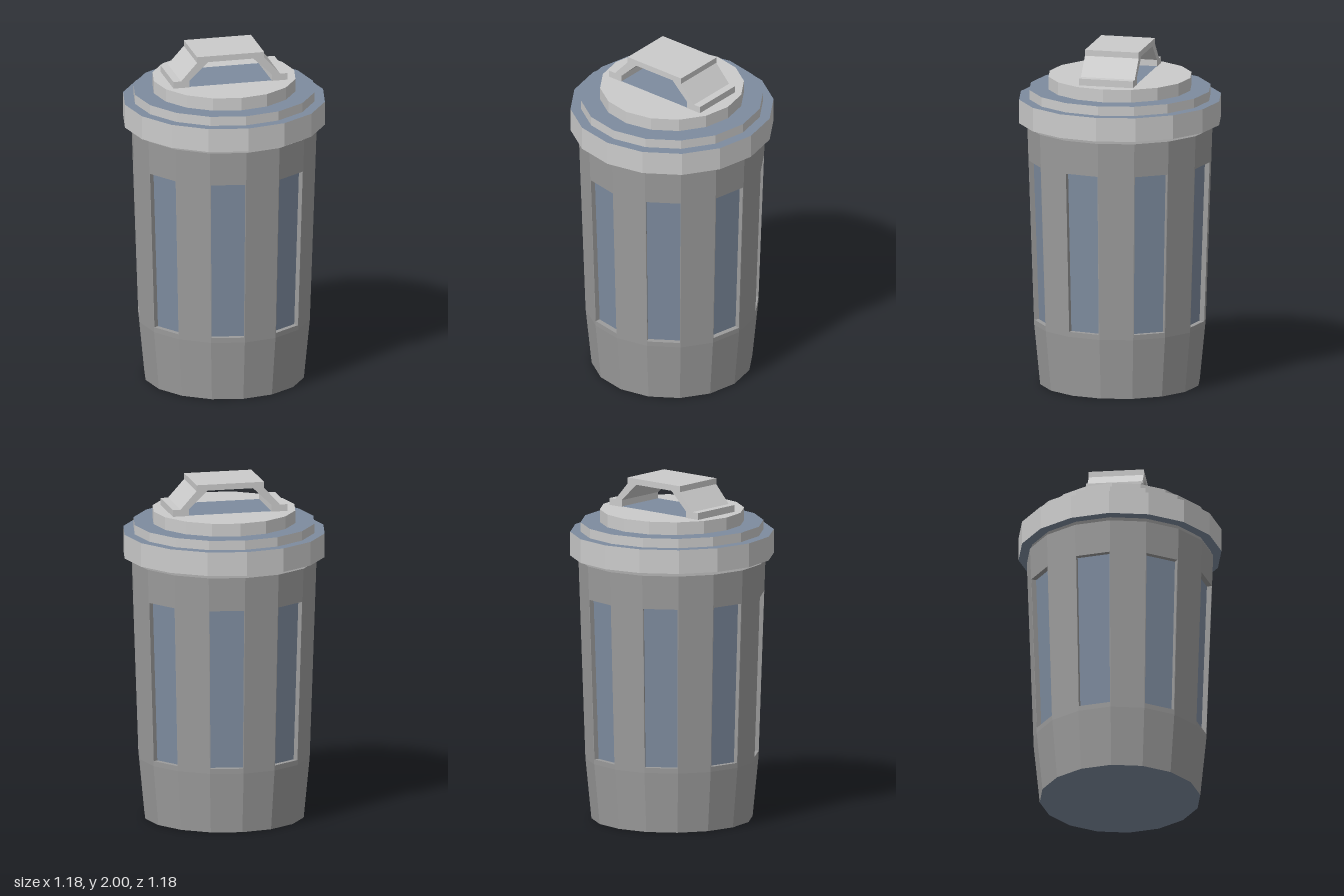
import * as THREE from 'three';

const SIDES = 16;
const material = (color) => new THREE.MeshStandardMaterial({ color, flatShading: true });

// Flat-shaded geometry from quads of Vector3 corners, counter-clockwise from outside
function quadGeometry(quads) {
  const pts = [];
  for (const [a, b, c, d] of quads) pts.push(a, b, c, a, c, d);
  const g = new THREE.BufferGeometry().setFromPoints(pts);
  g.computeVertexNormals();
  return g;
}

// Body radius by height: narrow foot, then a long gentle taper
const BREAK = 0.355, TOP = 1.525;
function bodyRadius(y) {
  return y < BREAK
    ? THREE.MathUtils.mapLinear(y, 0, BREAK, 0.467, 0.502)
    : THREE.MathUtils.mapLinear(y, BREAK, TOP, 0.502, 0.542);
}

// Point on side i; u runs 0..1 across the side
function bodyPoint(i, u, y) {
  const r = bodyRadius(y);
  const corner = (k) => {
    const a = (k / SIDES) * Math.PI * 2;
    return new THREE.Vector3(Math.sin(a) * r, y, Math.cos(a) * r);
  };
  return corner(i).lerp(corner(i + 1), u);
}

// Four corners of a patch on side i
const patch = (i, u0, u1, y0, y1) => [
  bodyPoint(i, u0, y0), bodyPoint(i, u1, y0), bodyPoint(i, u1, y1), bodyPoint(i, u0, y1),
];

export function createModel() {
  const root = new THREE.Group();
  root.name = 'trashCan';
  const grey = material(0xcccccc);
  const bodyGrey = material(0x9c9c9c);
  const blue = material(0x7e8c9f);

  const add = (parent, name, geometry, mat, y = 0) => {
    const mesh = new THREE.Mesh(geometry, mat);
    mesh.name = name;
    mesh.position.y = y;
    parent.add(mesh);
    return mesh;
  };
  const disc = (r) => new THREE.CircleGeometry(r, SIDES);
  const ring = (r0, r1) => new THREE.RingGeometry(r0, r1, SIDES);
  const up = (g) => g.rotateX(-Math.PI / 2);
  const down = (g) => g.rotateX(Math.PI / 2);

  // Body: every other side carries a recessed panel
  const body = new THREE.Group();
  body.name = 'body';
  root.add(body);
  const walls = [], panels = [];
  const depth = 0.03;
  for (let i = 0; i < SIDES; i++) {
    walls.push(patch(i, 0, 1, 0, BREAK));
    const outer = patch(i, 0, 1, BREAK, TOP);
    if (i % 2 === 0) {
      walls.push(outer);
      continue;
    }
    const opening = patch(i, 0.02, 0.98, 0.385, 1.328);
    const a = ((i + 0.5) / SIDES) * Math.PI * 2;
    const inward = new THREE.Vector3(-Math.sin(a), 0, -Math.cos(a)).multiplyScalar(depth);
    const floor = opening.map((p) => p.clone().add(inward));
    for (let k = 0; k < 4; k++) {
      const n = (k + 1) % 4;
      walls.push([outer[k], outer[n], opening[n], opening[k]]);
      walls.push([opening[k], opening[n], floor[n], floor[k]]);
    }
    panels.push(floor);
  }
  add(body, 'bodyWall', quadGeometry(walls), bodyGrey);
  add(body, 'sidePanels', quadGeometry(panels), blue);
  add(body, 'bodyBottom', down(disc(bodyRadius(0))), blue);
  add(body, 'bodyTop', up(disc(bodyRadius(TOP))), bodyGrey, TOP);

  // Lid: three stepped tiers with blue ledges, floating just above the body
  const lid = new THREE.Group();
  lid.name = 'lid';
  root.add(lid);
  const tiers = [[0.59, 1.55, 1.69], [0.53, 1.69, 1.745], [0.418, 1.745, 1.82]];
  tiers.forEach(([r, y0, y1], i) => {
    const side = new THREE.CylinderGeometry(r, r, y1 - y0, SIDES, 1, true);
    add(lid, 'lidTier', side, grey, (y0 + y1) / 2);
    if (i < 2) add(lid, 'lidLedge', up(ring(tiers[i + 1][0], r)), blue, y1);
  });
  add(lid, 'lidTop', up(disc(0.418)), grey, 1.82);
  add(lid, 'lidRimUnderside', down(ring(0.53, 0.59)), blue, 1.55);
  add(lid, 'lidUnderside', down(disc(0.53)), grey, 1.55);

  // Handle: bent strap with two feet
  const half = [
    [0.2, 2], [0.2, 1.965], [0.295, 1.86], [0.34, 1.86], [0.34, 1.82],
    [0.245, 1.82], [0.245, 1.86], [0.135, 1.965],
  ];
  const mirrored = half.map(([x, y]) => [-x, y]).reverse();
  const shape = new THREE.Shape([...half, ...mirrored].map(([x, y]) => new THREE.Vector2(x, y)));
  const strap = new THREE.ExtrudeGeometry(shape, { depth: 0.32, bevelEnabled: false });
  strap.translate(0, 0, -0.16);
  add(root, 'handle', strap, grey);
  add(root, 'handleBase', up(new THREE.PlaneGeometry(0.49, 0.32)), blue, 1.823);

  return root;
}
